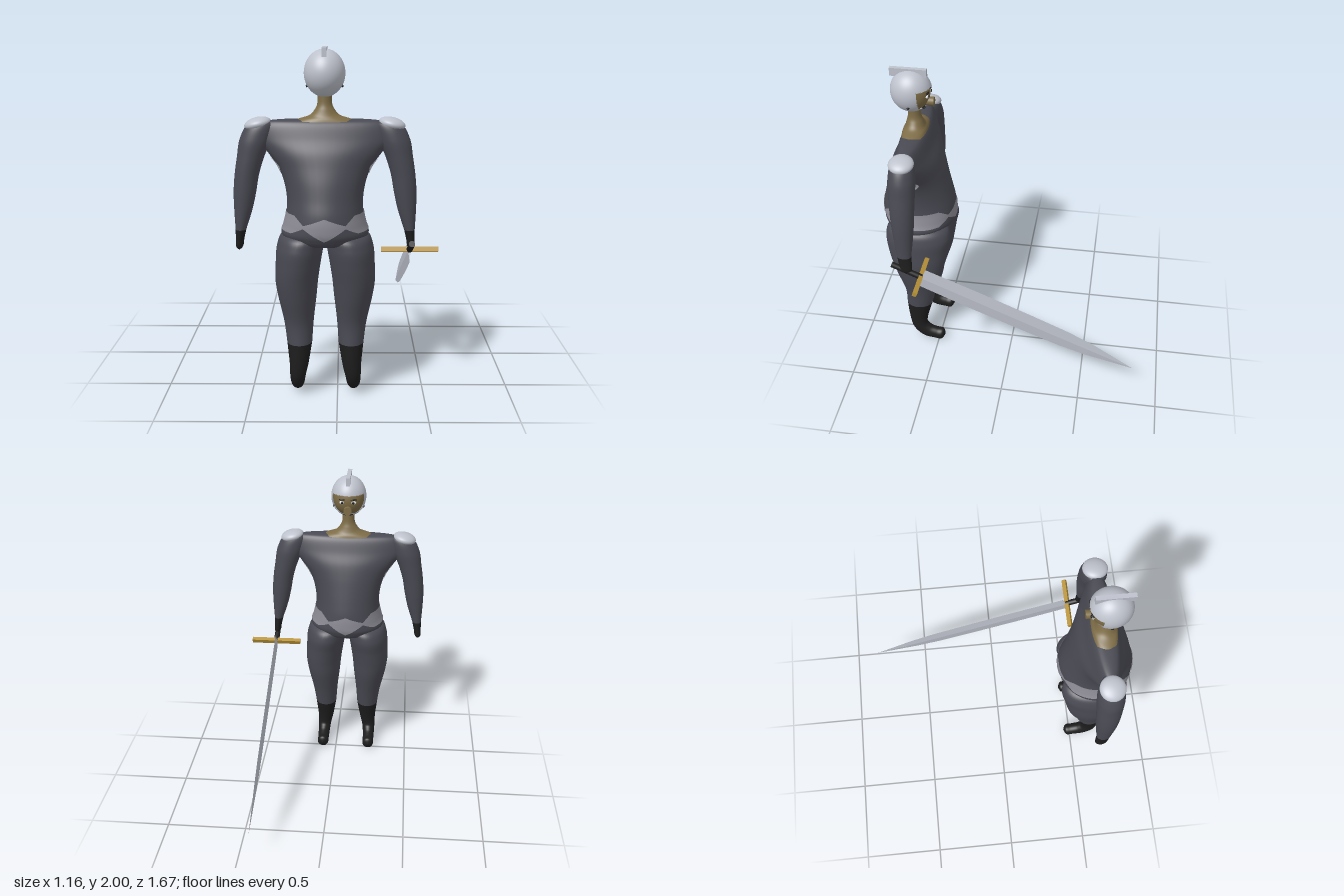
import * as THREE from 'three';

const mat = (name, color, side = THREE.FrontSide) => {
  const m = new THREE.MeshStandardMaterial({ color, side });
  m.name = name;
  return m;
};
const suit = mat('darkSuit', 0x4a4a54), boot = mat('blackLeather', 0x1e1e1e);
const skin = mat('skin', 0x7d6c46), silver = mat('silver', 0xbec2cc);
const silverOpen = silver; silverOpen.side = THREE.DoubleSide;
const belt = mat('beltGrey', 0x8d8c96, THREE.DoubleSide), gold = mat('gold', 0xb8933a);
const white = mat('eyeWhite', 0xe0e0e0);

// Smooth value of a section list at t (0..1)
function sample(secs, t) {
  const f = Math.min(t, 0.99999) * (secs.length - 1), i = Math.floor(f), u = f - i;
  const at = k => secs[Math.max(0, Math.min(secs.length - 1, k))];
  return secs[i].map((b, c) => {
    const a = at(i - 1)[c], d = at(i + 1)[c], e = at(i + 2)[c];
    const v = b + 0.5 * u * (d - a + u * (2 * a - 5 * b + 4 * d - e + u * (3 * (b - d) + e - a)));
    return c === 3 || c === 4 ? Math.max(v, 0.0005) : v;
  });
}

// Grid surface from rows x columns of points; rows run top to bottom
function grid(rows, cols, point, closed) {
  const pos = [], idx = [], w = closed ? cols : cols + 1;
  for (let i = 0; i <= rows; i++) for (let j = 0; j < w; j++) pos.push(...point(i / rows, j / cols));
  for (let i = 0; i < rows; i++) for (let j = 0; j < cols; j++) {
    const a = i * w + j, b = i * w + (j + 1) % w;
    idx.push(a, b, a + w, b, b + w, a + w);
  }
  const g = new THREE.BufferGeometry();
  g.setAttribute('position', new THREE.Float32BufferAttribute(pos, 3));
  g.setIndex(idx);
  g.computeVertexNormals();
  return g;
}

// Point on a ring: section = [y, centreX, centreZ, radiusX, radiusZ, tilt]
function ringPoint([y, cx, cz, rx, rz, tilt], a, grow = 0) {
  const s = Math.sin(a) * (rz + grow);
  return [cx + (rx + grow) * Math.cos(a), y - s * Math.sin(tilt), cz + s * Math.cos(tilt)];
}
const loft = secs => grid((secs.length - 1) * 8, 40,
  (u, v) => ringPoint(sample(secs, u), v * Math.PI * 2), true);

function ringAtY(secs, y) {
  let lo = 0, hi = 1;
  for (let k = 0; k < 30; k++) {
    const m = (lo + hi) / 2;
    if (sample(secs, m)[0] > y) lo = m; else hi = m;
  }
  return sample(secs, lo);
}

function add(parent, name, geo, material, x = 0, y = 0, z = 0) {
  const m = new THREE.Mesh(geo, material);
  m.name = name;
  m.position.set(x, y, z);
  parent.add(m);
  return m;
}
const ball = (rx, ry, rz) => new THREE.SphereGeometry(1, 48, 36).scale(rx, ry, rz);

const torso = [
  [1.61, 0, 0, 0, 0, 0], [1.606, 0, 0, 0.26, 0.045, 0], [1.58, 0, 0, 0.35, 0.075, 0],
  [1.5, 0, 0, 0.365, 0.107, 0], [1.43, 0, 0, 0.32, 0.14, 0], [1.35, 0, 0, 0.262, 0.165, 0],
  [1.27, 0, 0.002, 0.23, 0.187, 0], [1.18, 0, 0.002, 0.214, 0.208, 0], [1.1, 0, 0.004, 0.215, 0.226, 0],
  [1.03, 0, 0.004, 0.23, 0.231, 0], [0.97, 0, 0.002, 0.245, 0.222, 0], [0.92, 0, 0, 0.19, 0.17, 0],
  [0.905, 0, 0, 0, 0, 0]];
const arm = [
  [1.605, 0.33, 0, 0, 0, 0], [1.585, 0.35, 0, 0.07, 0.06, 0], [1.5, 0.382, 0, 0.088, 0.08, 0],
  [1.4, 0.412, 0, 0.076, 0.078, 0], [1.3, 0.435, 0, 0.068, 0.073, 0], [1.2, 0.448, 0, 0.063, 0.067, 0],
  [1.1, 0.459, 0, 0.051, 0.057, 0], [0.985, 0.475, 0, 0.03, 0.043, 0]];
const glove = [
  [0.985, 0.475, 0, 0.03, 0.043, 0], [0.93, 0.482, -0.005, 0.024, 0.04, 0],
  [0.885, 0.486, -0.008, 0.02, 0.034, 0], [0.862, 0.487, -0.008, 0, 0, 0]];
const leg = [
  [1.0, 0.11, 0, 0, 0, 0], [0.97, 0.12, 0, 0.115, 0.17, 0], [0.9, 0.14, -0.002, 0.132, 0.207, 0],
  [0.8, 0.153, 0.003, 0.128, 0.193, 0], [0.7, 0.162, 0.002, 0.122, 0.173, 0], [0.6, 0.16, 0, 0.11, 0.15, 0],
  [0.45, 0.152, 0.004, 0.085, 0.105, 0], [0.325, 0.148, 0.02, 0.072, 0.086, 0]];
const bootSecs = [
  [0.325, 0.148, 0.02, 0.072, 0.086, 0], [0.2, 0.152, 0.034, 0.055, 0.063, 0],
  [0.12, 0.16, 0.026, 0.045, 0.052, 0.35], [0.07, 0.163, -0.02, 0.04, 0.05, 1.0],
  [0.052, 0.163, -0.08, 0.038, 0.043, 1.3], [0.046, 0.163, -0.125, 0.035, 0.04, 1.4],
  [0.046, 0.163, -0.145, 0, 0, 1.4]];

function buildBody(g) {
  add(g, 'torso', loft(torso), suit);
  add(g, 'neck', loft([
    [1.78, 0, 0, 0.04, 0.04, 0], [1.7, 0, 0, 0.04, 0.04, 0], [1.66, 0, 0, 0.056, 0.05, 0],
    [1.63, 0, 0, 0.085, 0.06, 0], [1.612, 0, 0, 0.14, 0.07, 0], [1.598, 0, 0, 0.18, 0.075, 0]]), skin);

  // Belt band pinched between its centre and side panels
  const edge = (u, mid, pinch, side) => u < 0.5 ? mid + (pinch - mid) * u * 2
    : pinch + (side - pinch) * Math.min(1, (u - 0.5) * 4);
  add(g, 'belt', grid(8, 96, (r, c) => {
    const a = c * Math.PI * 2, u = Math.abs(Math.cos(a));
    const top = edge(u, 1.095, 1.052, 1.1), low = edge(u, 0.965, 1.035, 1.0);
    return ringPoint(ringAtY(torso, top + (low - top) * r), a, 0.004);
  }, true), belt);

  for (const s of [1, -1]) {
    const side = secs => secs.map(([y, x, ...rest]) => [y, x * s, ...rest]);
    const tag = s > 0 ? 'left' : 'right';
    add(g, tag + 'Arm', loft(side(arm)), suit);
    add(g, tag + 'Glove', loft(side(glove)), boot);
    add(g, tag + 'Leg', loft(side(leg)), suit);
    add(g, tag + 'Boot', loft(side(bootSecs)), boot);
    add(g, tag + 'ShoulderPad', ball(0.075, 0.036, 0.075), silver, s * 0.37, 1.583, 0).rotation.z = -s * 0.22;
    // Small plate under the arm
    add(g, tag + 'FlankPlate', grid(8, 8, (r, c) => {
      const k = 0.4 + 0.6 * Math.sin(Math.PI * r);
      const a = (s > 0 ? 0 : Math.PI) + (c - 0.5) * 0.75 * k;
      return ringPoint(ringAtY(torso, 1.4 - 0.09 * r), a, 0.004);
    }), silverOpen);
  }
}

function buildHead(g) {
  add(g, 'head', ball(0.101, 0.118, 0.108), skin, 0, 1.855, 0.005);
  // Helmet shell with a face opening
  const shell = new THREE.SphereGeometry(1, 96, 72).scale(0.113, 0.13, 0.124);
  const p = shell.attributes.position, src = shell.index.array, keep = [];
  for (let i = 0; i < src.length; i += 3) {
    const t = [src[i], src[i + 1], src[i + 2]];
    const y = t.reduce((n, k) => n + p.getY(k) / 3, 0), z = t.reduce((n, k) => n + p.getZ(k) / 3, 0);
    if (!(z < -0.055 && y < 0.03 && y > -0.09)) keep.push(...t);
  }
  shell.setIndex(keep);
  add(g, 'helmet', shell, silverOpen, 0, 1.86, 0.01);
  add(g, 'helmetCrest', new THREE.BoxGeometry(0.026, 0.05, 0.22), silver, 0, 1.975, 0.02);
  add(g, 'nose', new THREE.CylinderGeometry(0.026, 0.026, 0.05, 24).rotateX(Math.PI / 2), skin, 0, 1.795, -0.1);
  add(g, 'mouth', ball(0.032, 0.007, 0.012), boot, 0, 1.757, -0.062);
  for (const s of [1, -1]) {
    add(g, 'eye', ball(0.018, 0.011, 0.01), white, s * 0.036, 1.845, -0.093);
    add(g, 'pupil', ball(0.008, 0.008, 0.005), boot, s * 0.036, 1.845, -0.102);
    add(g, 'eyebrow', ball(0.022, 0.005, 0.008), boot, s * 0.036, 1.865, -0.096);
    add(g, 'helmetStud', ball(0.006, 0.008, 0.008), boot, s * 0.097, 1.79, 0.01);
  }
}

function buildSword(g) {
  const tilt = Math.atan2(0.18, 0.08);
  add(g, 'swordGrip', new THREE.CylinderGeometry(0.018, 0.018, 0.2, 20), boot, 0.415, 0.88, 0.59).rotation.x = tilt;
  add(g, 'swordGuard', new THREE.BoxGeometry(0.33, 0.026, 0.03), gold, 0.415, 0.843, 0.505).rotation.x = tilt;
  // Blade of diamond cross-sections: [distance, half width, half thickness]
  const st = [[0, 0.001, 0.0005], [0, 0.07, 0.007], [0.35, 0.075, 0.007], [0.7, 0.073, 0.007],
    [0.97, 0.068, 0.006], [1.15, 0.052, 0.005], [1.455, 0.0005, 0.0005]];
  const blade = grid(6, 4, (u, v) => {
    const [d, w, t] = st[Math.round(u * 6)], k = Math.round(v * 4);
    const n = [0, 1, 0, -1][k] * w;
    return [0.415 + [1, 0, -1, 0][k] * t, 0.835 - 0.406 * d + 0.914 * n, 0.5 - 0.914 * d - 0.406 * n];
  }, true).toNonIndexed();
  blade.computeVertexNormals();
  add(g, 'swordBlade', blade, silverOpen);
}

export function createModel() {
  const model = new THREE.Group();
  const figure = new THREE.Group(), sword = new THREE.Group();
  figure.name = 'knight';
  sword.name = 'sword';
  figure.position.set(-0.07, 0, 0.6);
  buildBody(figure);
  buildHead(figure);
  buildSword(sword);
  model.add(figure, sword);
  return model;
}
